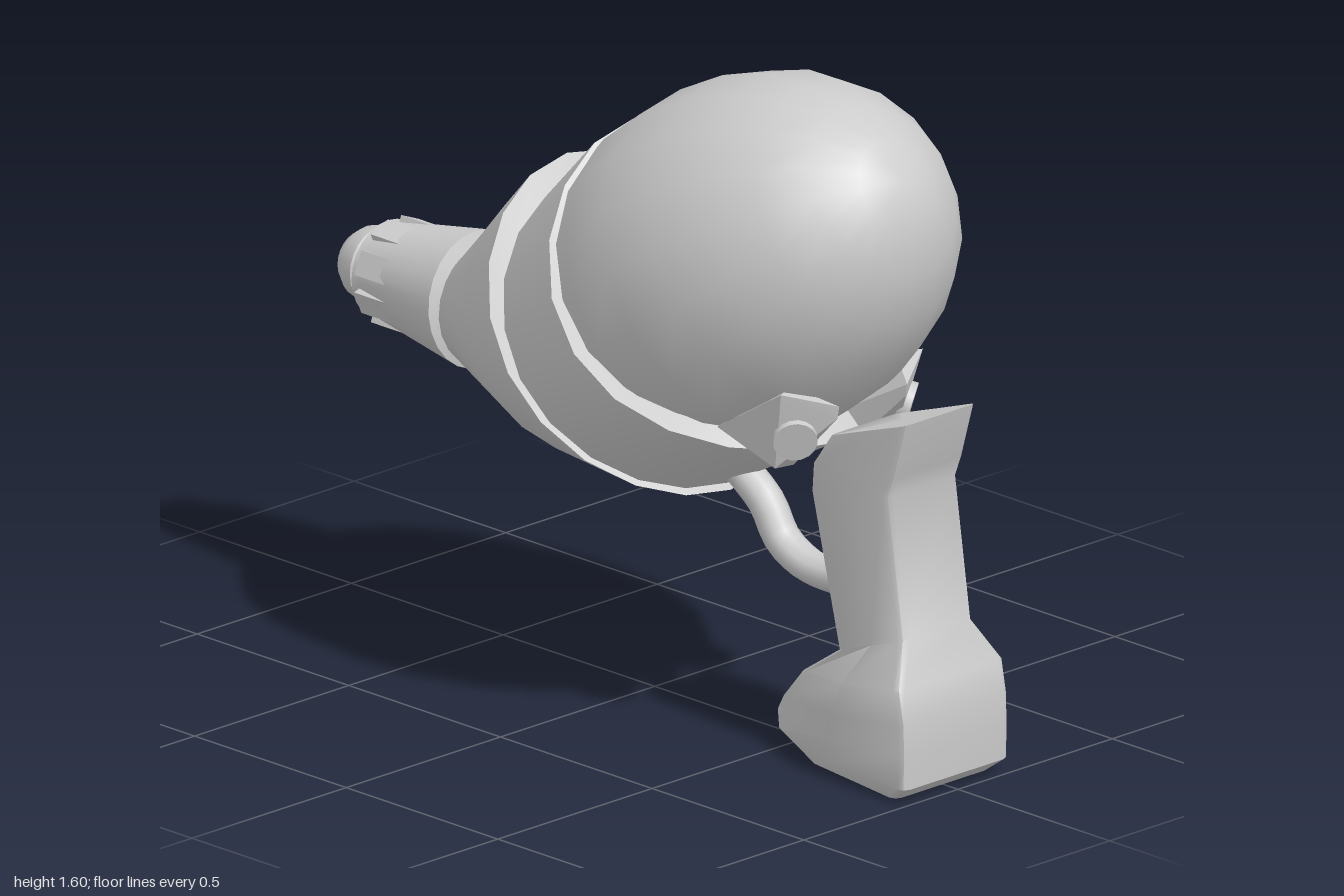
import * as THREE from 'three';
import { toCreasedNormals } from 'three/addons/utils/BufferGeometryUtils.js';
import { ConvexGeometry } from 'three/addons/geometries/ConvexGeometry.js';

const material = new THREE.MeshStandardMaterial({ color: 0xcccccc, side: THREE.DoubleSide });

function part(parent, name, geometry, crease = 0.6) {
  const mesh = new THREE.Mesh(toCreasedNormals(geometry, crease), material);
  mesh.name = name;
  parent.add(mesh);
  return mesh;
}

// Skin over a list of rings with equal point counts, optionally capped at both ends
function loft(rings, capped) {
  const n = rings[0].length;
  const pos = [];
  const tri = (...pts) => pts.forEach((p) => pos.push(...p));
  for (let i = 0; i < rings.length - 1; i++) {
    for (let j = 0; j < n; j++) {
      const k = (j + 1) % n;
      const [a, b, c, d] = [rings[i][j], rings[i][k], rings[i + 1][k], rings[i + 1][j]];
      tri(a, b, c);
      tri(a, c, d);
    }
  }
  if (capped) {
    const cap = (ring, flip) => {
      const mid = [0, 1, 2].map((q) => ring.reduce((s, p) => s + p[q], 0) / n);
      ring.forEach((p, j) => {
        const next = ring[(j + 1) % n];
        if (flip) tri(mid, next, p);
        else tri(mid, p, next);
      });
    };
    cap(rings[0], true);
    cap(rings[rings.length - 1], false);
  }
  const geometry = new THREE.BufferGeometry();
  geometry.setAttribute('position', new THREE.Float32BufferAttribute(pos, 3));
  return geometry;
}

// Slanted oval from its top and bottom points; bow pushes the sides forward
function ovalRing([tx, ty], [bx, by], halfWidth, bow = 0, scale = 1) {
  const dx = (tx - bx) / 2, dy = (ty - by) / 2, len = Math.hypot(dx, dy);
  const ring = [];
  for (let j = 0; j < 20; j++) {
    const a = (j / 20) * Math.PI * 2;
    const c = Math.cos(a) * scale, s = Math.sin(a), push = (bow * s * s) / len;
    ring.push([(tx + bx) / 2 + c * dx - dy * push, (ty + by) / 2 + c * dy + dx * push, s * halfWidth * scale]);
  }
  return ring;
}

// Chamfered grip section between a front and a back point
function gripRing([fx, fy], [bx, by], frontHalf, backHalf) {
  const ring = [];
  const r = 0.02;
  const add = (t, z) => ring.push([fx + (bx - fx) * t, fy + (by - fy) * t, z]);
  const e = r / (bx - fx);
  const right = [[1, backHalf - r], [1 - e * 0.3, backHalf - r * 0.3], [1 - e, backHalf],
    [0.5, Math.max(backHalf * 0.95, frontHalf)], [e, frontHalf], [e * 0.3, frontHalf - r * 0.3], [0, frontHalf - r]];
  right.forEach(([t, z]) => add(t, -z));
  right.reverse().forEach(([t, z]) => add(t, z));
  return ring;
}

export function createModel() {
  const model = new THREE.Group();
  model.name = 'toyBlaster';

  // Body: front cone and rear cup, each ending in a stepped rim
  const rim1 = [[-0.29, 1.24], [0.25, 0.55], 0.41, 0.06];
  const rim2 = [[-0.07, 1.38], [0.6, 0.755], 0.435, 0.13];
  part(model, 'frontCone', loft([
    ovalRing([-0.585, 0.93], [-0.57, 0.66], 0.135),
    ovalRing([-0.4, 1.125], [-0.1, 0.55], 0.315, 0.03),
    ovalRing(...rim1),
    ovalRing(...rim1, 0.85),
  ], false));
  part(model, 'rearCup', loft([
    ovalRing([-0.25, 1.19], [0.24, 0.565], 0.385, 0.06),
    ovalRing(...rim2),
    ovalRing(...rim2, 0.6),
  ], false));

  // Egg-shaped tank
  const egg = new THREE.SphereGeometry(1, 18, 12).rotateZ(-Math.PI / 2).scale(0.6, 0.425, 0.425);
  const tank = part(model, 'tank', egg, 1);
  tank.position.set(0.31, 1.13, 0);
  tank.rotation.z = 0.56;

  // Nozzle along -x with raised ribs
  const nozzle = new THREE.Group();
  nozzle.name = 'nozzle';
  nozzle.position.y = 0.808;
  model.add(nozzle);
  const profile = [[0.13, 0.57], [0.163, 0.58], [0.118, 0.85], [0.118, 0.88], [0.1, 0.895], [0.085, 0.895],
    [0.085, 0.905], [0.094, 0.91], [0.086, 0.95], [0.065, 0.98], [0.035, 1], [0.025, 0.99], [0, 0.97]];
  const barrel = new THREE.LatheGeometry(profile.map(([r, y]) => new THREE.Vector2(r, y)), 24).rotateZ(Math.PI / 2);
  const p = barrel.attributes.position;
  for (let i = 0; i < p.count; i++) {
    if (p.getX(i) > -0.6) p.setX(i, p.getX(i) - p.getY(i) * 0.09); // slanted base edge
  }
  part(nozzle, 'barrel', barrel);
  for (let i = 0; i < 8; i++) {
    const rib = new THREE.BoxGeometry(0.1, 0.03, 0.06).translate(-0.808, 0.114, 0);
    part(nozzle, 'rib', rib.rotateX(((i + 0.5) / 8) * Math.PI * 2));
  }

  // Plate under the cone
  const plate = part(model, 'bottomPlate', new THREE.BoxGeometry(0.24, 0.04, 0.17));
  plate.position.set(-0.227, 0.583, 0);
  plate.rotation.z = -0.22;

  // Mirrored brackets with round bolts, wrapping toward the grip
  for (const side of [1, -1]) {
    const pts = [[0.46, 0.82, 0.25], [0.65, 0.94, 0.23], [0.72, 0.9, 0.11], [0.715, 0.87, 0.11], [0.6, 0.74, 0.2],
      [0.55, 0.71, 0.09], [0.5, 0.78, 0.09], [0.62, 0.94, 0.17]];
    part(model, 'bracket', new ConvexGeometry(pts.map(([x, y, z]) => new THREE.Vector3(x, y, z * side))), 0.3);
    const bolt = part(model, 'bolt', new THREE.CylinderGeometry(0.052, 0.052, 0.03, 16));
    bolt.position.set(0.645, 0.82, 0.18 * side);
    bolt.quaternion.setFromUnitVectors(new THREE.Vector3(0, 1, 0), new THREE.Vector3(0.75, -0.28, 0.6 * side).normalize());
  }

  // Trigger guard and trigger
  const path = [[0.29, 0.61], [0.37, 0.55], [0.42, 0.475], [0.5, 0.433], [0.58, 0.425], [0.72, 0.44]];
  const curve = new THREE.CatmullRomCurve3(path.map(([x, y]) => new THREE.Vector3(x, y, 0)));
  part(model, 'triggerGuard', new THREE.TubeGeometry(curve, 16, 0.04, 10).scale(1, 1, 1.15), 1);
  const trigger = part(model, 'trigger', new THREE.BoxGeometry(0.1, 0.03, 0.06));
  trigger.position.set(0.63, 0.605, 0);
  trigger.rotation.z = 0.2;

  // Grip with flared foot and pointed toe
  part(model, 'grip', loft([
    gripRing([0.65, 0.02], [0.95, 0.005], 0.14, 0.155),
    gripRing([0.5, 0.055], [0.995, 0.04], 0.1, 0.172),
    gripRing([0.475, 0.09], [0.997, 0.12], 0.08, 0.172),
    gripRing([0.5, 0.13], [0.995, 0.2], 0.085, 0.172),
    gripRing([0.58, 0.215], [0.98, 0.28], 0.1, 0.172),
    gripRing([0.71, 0.3], [0.935, 0.38], 0.11, 0.115),
    gripRing([0.625, 0.67], [0.885, 0.72], 0.115, 0.115),
    gripRing([0.63, 0.74], [0.905, 0.77], 0.115, 0.115),
    gripRing([0.685, 0.82], [0.945, 0.91], 0.11, 0.115),
  ], true), 0.7);

  return model;
}
